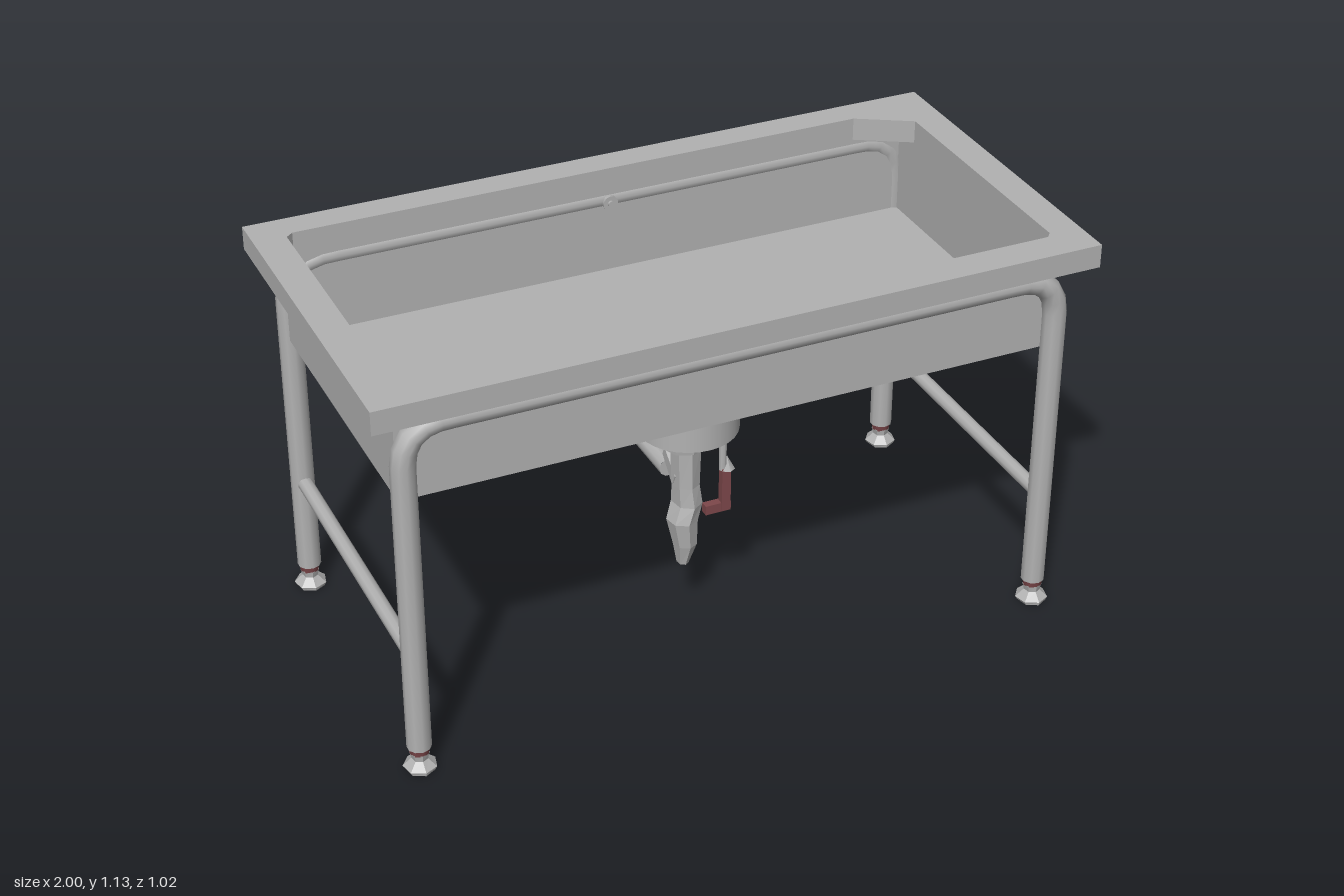
import * as THREE from 'three';

const steel = new THREE.MeshStandardMaterial({ color: 0xb2b2b2 });
steel.name = 'steel';
const facetedSteel = steel;
const red = new THREE.MeshStandardMaterial({ color: 0x7e484b });
red.name = 'dull red';

function add(parent, name, geometry, material, x = 0, y = 0, z = 0) {
  const mesh = new THREE.Mesh(geometry, material);
  mesh.name = name;
  mesh.position.set(x, y, z);
  parent.add(mesh);
  return mesh;
}

// Flat plate with a hole, lying in xz, from y0 to y1; points are [x, z]
function frame(outer, hole, y0, y1) {
  const toPoints = (list) => list.map(([x, z]) => new THREE.Vector2(x, -z));
  const shape = new THREE.Shape(toPoints(outer));
  shape.holes.push(new THREE.Path(toPoints(hole)));
  const g = new THREE.ExtrudeGeometry(shape, { depth: y1 - y0, bevelEnabled: false });
  return g.rotateX(-Math.PI / 2).translate(0, y0, 0);
}

const rect = (x, z0, z1) => [[-x, z1], [x, z1], [x, z0], [-x, z0]];

// Faceted body through elliptical sections [x, y, z, rx, rz], listed top to bottom
function loft(sections, sides) {
  const ring = ([x, y, z, rx, rz], i) => {
    const a = (i / sides) * Math.PI * 2;
    return [x + Math.sin(a) * rx, y, z + Math.cos(a) * rz];
  };
  const pos = [];
  for (let s = 0; s < sections.length - 1; s++) {
    for (let i = 0; i < sides; i++) {
      const a = ring(sections[s], i), b = ring(sections[s], i + 1);
      const c = ring(sections[s + 1], i), d = ring(sections[s + 1], i + 1);
      pos.push(...a, ...c, ...b, ...b, ...c, ...d);
    }
  }
  const top = sections[0], end = sections[sections.length - 1];
  for (let i = 0; i < sides; i++) {
    pos.push(...top.slice(0, 3), ...ring(top, i), ...ring(top, i + 1));
    pos.push(...end.slice(0, 3), ...ring(end, i + 1), ...ring(end, i));
  }
  const g = new THREE.BufferGeometry();
  g.setAttribute('position', new THREE.Float32BufferAttribute(pos, 3));
  g.computeVertexNormals();
  return g;
}

function makeBasin() {
  const basin = new THREE.Group();
  basin.name = 'basin';
  const opening = [[-0.91, 0.395], [-0.77, 0.412], [0.895, 0.412], [0.91, 0.395],
    [0.91, -0.335], [0.76, -0.422], [-0.89, -0.422], [-0.91, -0.405]];
  add(basin, 'rim', frame(rect(1, -0.507, 0.507), opening, 1.067, 1.133), steel);
  add(basin, 'walls', frame(rect(0.92, -0.428, 0.425), rect(0.91, -0.422, 0.415), 0.815, 1.067), steel);
  add(basin, 'floor', new THREE.BoxGeometry(1.835, 0.012, 0.848), steel, 0, 0.816, -0.001);

  // Overflow outlet through the back wall
  const tube = (r, h) => new THREE.CylinderGeometry(r, r, h, 10).rotateX(Math.PI / 2);
  add(basin, 'overflowRing', tube(0.022, 0.012), steel, 0.01, 1.03, -0.418);
  add(basin, 'overflowScrew', tube(0.009, 0.012), steel, 0.01, 1.03, -0.411);
  add(basin, 'overflowStub', tube(0.02, 0.09), steel, 0, 1.055, -0.468);
  return basin;
}

function makeStand() {
  const stand = new THREE.Group();
  stand.name = 'stand';
  const legX = 0.909, topY = 1.037, bend = 0.12;
  const v = (x, y) => new THREE.Vector3(x, y, 0);
  const path = new THREE.CurvePath();
  path.add(new THREE.LineCurve3(v(-legX, 0.075), v(-legX, topY - bend)));
  path.add(new THREE.QuadraticBezierCurve3(v(-legX, topY - bend), v(-legX, topY), v(-legX + bend, topY)));
  path.add(new THREE.LineCurve3(v(-legX + bend, topY), v(legX - bend, topY)));
  path.add(new THREE.QuadraticBezierCurve3(v(legX - bend, topY), v(legX, topY), v(legX, topY - bend)));
  path.add(new THREE.LineCurve3(v(legX, topY - bend), v(legX, 0.075)));
  const hoop = new THREE.TubeGeometry(path, 90, 0.033, 10);

  for (const z of [0.45, -0.45]) {
    add(stand, 'legFrame', hoop, steel, 0, 0, z);
    for (const x of [-legX, legX]) {
      add(stand, 'legCap', new THREE.CylinderGeometry(0.033, 0.033, 0.004, 10), steel, x, 0.075, z);
      add(stand, 'footCollar', new THREE.CylinderGeometry(0.03, 0.026, 0.022, 8), red, x, 0.064, z);
      const foot = loft([[0, 0.056, 0, 0.027, 0.027], [0, 0.036, 0, 0.022, 0.024],
        [0, 0.014, 0, 0.046, 0.046], [0, 0.004, 0, 0.04, 0.044]], 7);
      add(stand, 'foot', foot, facetedSteel, x, 0, z);
    }
  }
  // Side rails tying front and back legs
  for (const x of [-legX, legX]) {
    const rail = new THREE.CylinderGeometry(0.021, 0.021, 0.87, 10).rotateX(Math.PI / 2);
    add(stand, 'sideRail', rail, steel, x, 0.354, 0);
  }
  return stand;
}

function makeDrain() {
  const drain = new THREE.Group();
  drain.name = 'drain';
  const z = 0.118;
  add(drain, 'drainCup', new THREE.CylinderGeometry(0.139, 0.139, 0.108, 28), steel, 0, 0.673, z);
  add(drain, 'drainCupTop', new THREE.CylinderGeometry(0.06, 0.135, 0.01, 28), steel, 0, 0.731, z);
  add(drain, 'drainNeck', loft([[-0.005, 0.62, 0.115, 0.065, 0.065],
    [-0.005, 0.555, 0.11, 0.062, 0.06]], 8), facetedSteel);
  add(drain, 'trapBody', loft([[0, 0.56, 0.105, 0.043, 0.046], [0, 0.43, 0.105, 0.038, 0.044],
    [0.005, 0.37, 0.1, 0.042, 0.055], [-0.012, 0.32, 0.108, 0.043, 0.05],
    [-0.005, 0.24, 0.112, 0.033, 0.038], [-0.01, 0.175, 0.108, 0.016, 0.022]], 7), facetedSteel);
  // Side outlet pointing back toward the waste pipe
  const outlet = new THREE.CylinderGeometry(0.03, 0.042, 0.1, 6).rotateX(-Math.PI / 2 + 0.45);
  outlet.computeVertexNormals();
  add(drain, 'sideOutlet', outlet.toNonIndexed(), facetedSteel, 0, 0.465, 0.062).geometry.computeVertexNormals();
  const spur = new THREE.ConeGeometry(0.02, 0.06, 5).rotateX(-Math.PI / 2);
  add(drain, 'lowerSpur', spur, facetedSteel, 0, 0.375, 0.06);

  // Lever rod and its coloured handle
  add(drain, 'leverRod', new THREE.CylinderGeometry(0.011, 0.011, 0.15, 8), steel, 0.092, 0.545, 0.145);
  add(drain, 'leverJoint', new THREE.ConeGeometry(0.022, 0.04, 6), steel, 0.105, 0.49, 0.145);
  add(drain, 'leverGrip', new THREE.BoxGeometry(0.026, 0.13, 0.022), red, 0.099, 0.41, 0.145);
  add(drain, 'leverArm', new THREE.BoxGeometry(0.075, 0.028, 0.024), red, 0.077, 0.352, 0.14);

  // Waste pipe: runs back, elbows and rises to a tapered end
  const p = (y, pz) => new THREE.Vector3(0, y, pz);
  const run = new THREE.CurvePath();
  run.add(new THREE.LineCurve3(p(0.413, -0.005), p(0.408, -0.33)));
  run.add(new THREE.QuadraticBezierCurve3(p(0.408, -0.33), p(0.406, -0.385), p(0.48, -0.385)));
  const pipe = new THREE.TubeGeometry(run, 24, 0.028, 10);
  add(drain, 'wastePipe', pipe, steel);
  const cap = new THREE.CircleGeometry(0.028, 10);
  add(drain, 'wastePipeEnd', cap, steel, 0, 0.413, -0.005);
  add(drain, 'wasteRiser', loft([[0, 0.7, -0.403, 0.026, 0.02], [0, 0.6, -0.397, 0.034, 0.03],
    [0, 0.49, -0.388, 0.036, 0.037], [0, 0.45, -0.383, 0.027, 0.028]], 10), steel);
  return drain;
}

export function createModel() {
  const model = new THREE.Group();
  model.name = 'sinkTable';
  model.add(makeBasin(), makeStand(), makeDrain());
  return model;
}
